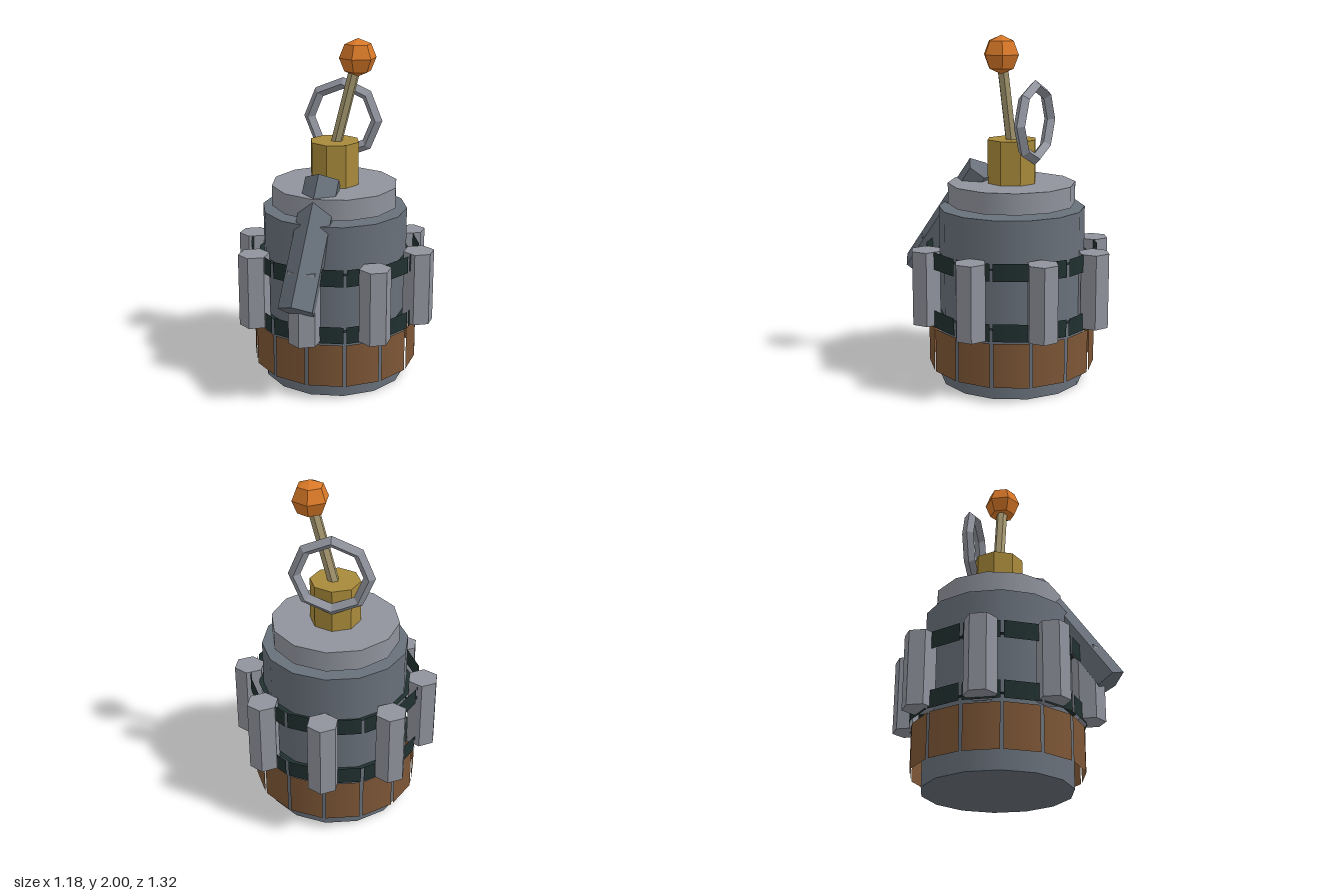
import * as THREE from 'three';

const mat = (name, color, extra = {}) => {
  const m = new THREE.MeshStandardMaterial({ color, ...extra });
  m.name = name;
  return m;
};

export function createModel() {
  const group = new THREE.Group();
  const AXIS = -0.055; // z of the main axis
  const steel = mat('steel', 0x68707a);
  const lightSteel = mat('lightSteel', 0x90939d);
  const flatSteel = mat('flatSteel', 0x68707a, { flatShading: true });
  const flatLight = mat('flatLightSteel', 0x90939d, { flatShading: true });
  const brown = mat('brown', 0x7d5636, { side: THREE.DoubleSide });
  const darkGreen = mat('darkGreen', 0x20302f, { side: THREE.DoubleSide });
  const brass = mat('brass', 0xa88a3a, { flatShading: true });
  const wood = mat('paleWood', 0xa89a72, { flatShading: true });
  const orange = mat('orange', 0xd87828, { flatShading: true });

  const add = (name, geometry, material, x = 0, y = 0, z = AXIS) => {
    const mesh = new THREE.Mesh(geometry, material);
    mesh.name = name;
    mesh.position.set(x, y, z);
    group.add(mesh);
    return mesh;
  };
  // Upright prism between two heights
  const prism = (name, r, sides, y0, y1, material, x = 0, z = AXIS) =>
    add(name, new THREE.CylinderGeometry(r, r, y1 - y0, sides), material, x, (y0 + y1) / 2, z);

  prism('body', 0.422, 14, 0, 1.02, steel);
  prism('lid', 0.368, 12, 1.04, 1.16, lightSteel);
  prism('collar', 0.145, 8, 1.16, 1.41, brass);

  // Bands of open panels with narrow seams, standing off the body
  const panels = (name, r, y0, y1, material) => {
    const step = (Math.PI * 2) / 14, gap = 0.036;
    for (let i = 0; i < 14; i++) {
      const g = new THREE.CylinderGeometry(r, r, y1 - y0, 1, 1, true, i * step + gap / 2, step - gap);
      add(name, g, material, 0, (y0 + y1) / 2);
    }
  };
  panels('lowerPanel', 0.485, 0.09, 0.345, brown);
  panels('lowerBandPanel', 0.497, 0.36, 0.46, darkGreen);
  panels('upperBandPanel', 0.497, 0.7, 0.8, darkGreen);

  // Thin ledges behind the bands
  for (const y of [0.41, 0.75]) {
    const ledge = add('bandLedge', new THREE.RingGeometry(0.41, 0.45, 14, 1, Math.PI / 2), darkGreen, 0, y);
    ledge.rotation.x = -Math.PI / 2;
  }

  // Eight hexagonal rods around the body
  for (let i = 0; i < 8; i++) {
    const a = (i * Math.PI) / 4;
    prism('rod', 0.091, 6, 0.37, 0.8, flatLight, Math.sin(a) * 0.513, AXIS + Math.cos(a) * 0.513);
  }

  // Sloping lever: ridged section running down and forward from the lid
  const section = new THREE.Shape([
    [0, 0], [-0.1, -0.068], [-0.08, -0.168], [0.08, -0.168], [0.1, -0.068],
  ].map(([x, y]) => new THREE.Vector2(x, y)));
  const lever = add('lever', new THREE.ExtrudeGeometry(section, { depth: 0.764, bevelEnabled: false }),
    flatSteel, 0, 1.28, 0.217);
  lever.rotation.x = 0.957;

  // Pull ring
  add('pullRing', new THREE.TorusGeometry(0.206, 0.034, 4, 8), flatLight, 0, 1.51, -0.2);

  // Leaning stick with a knob
  const base = new THREE.Vector3(0.008, 1.39, AXIS);
  const tip = new THREE.Vector3(0.135, 1.893, AXIS);
  const dir = tip.clone().sub(base);
  const mid = base.clone().addScaledVector(dir, 0.5);
  const stick = add('stick', new THREE.CylinderGeometry(0.033, 0.033, dir.length(), 6), wood, mid.x, mid.y, mid.z);
  stick.quaternion.setFromUnitVectors(new THREE.Vector3(0, 1, 0), dir.normalize());
  const knob = add('knob', new THREE.SphereGeometry(0.107, 6, 4), orange, tip.x, tip.y, tip.z);
  knob.rotation.y = Math.PI / 2;

  return group;
}
